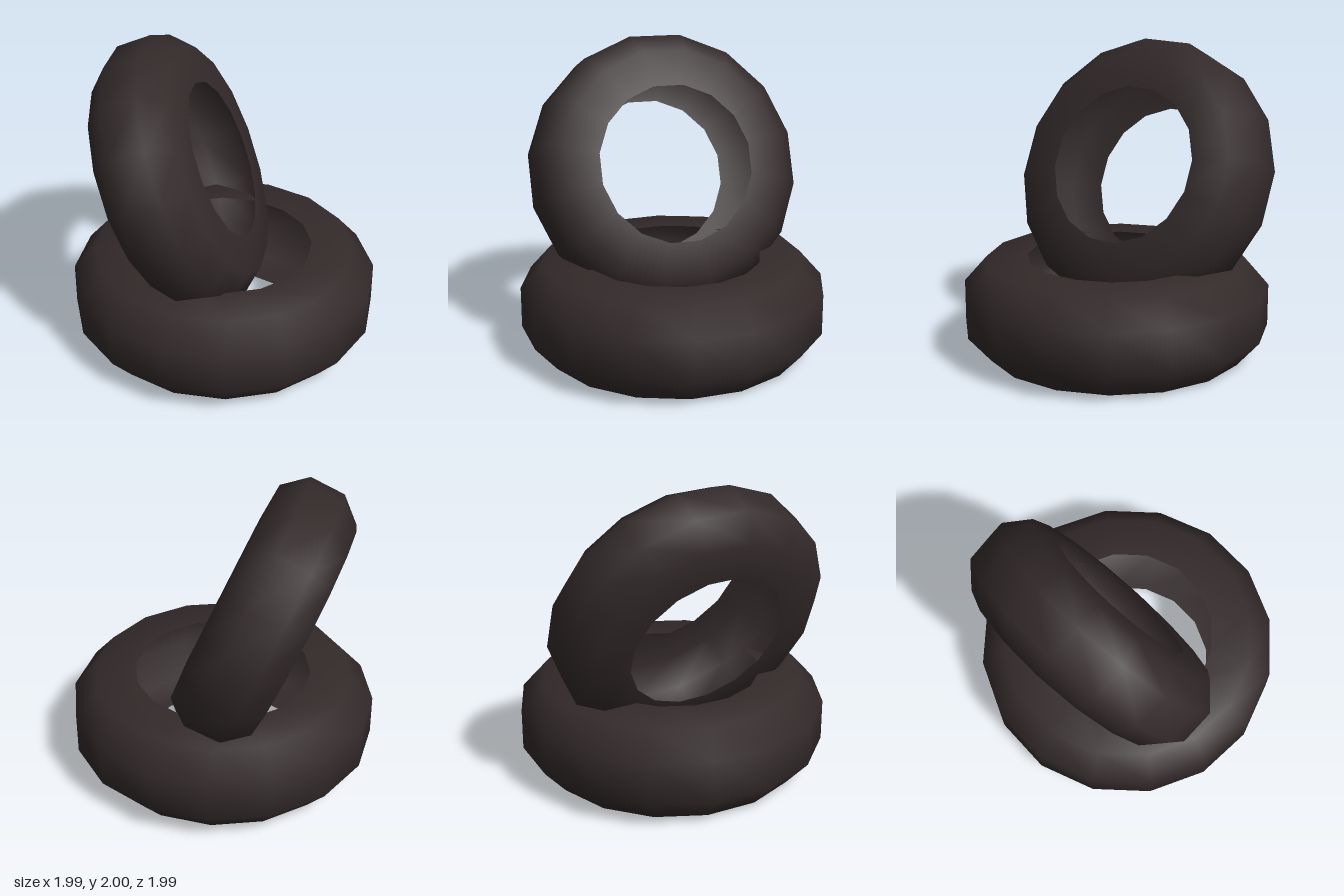
import * as THREE from 'three';

const SIDES = 16;
const HOLE = 0.58, HALF = 0.32;

// Cross-section of the hollow casing, from the lower rim round the tread to the upper rim
const CASING = [[HOLE, -HALF], [0.85, -0.305], [1, -0.135], [1, 0.135], [0.85, 0.305], [HOLE, HALF]]
  .map(([r, y]) => new THREE.Vector2(r, y));

// A tyre whose axle lies along "axle", with one corner of its polygon towards "corner"
function makeTyre(name, material, radius, centre, axle, corner) {
  const tyre = new THREE.Mesh(new THREE.LatheGeometry(CASING, SIDES), material);
  tyre.name = name;

  const y = axle.clone().normalize();
  const x = corner.clone().addScaledVector(y, -corner.dot(y)).normalize();
  const z = new THREE.Vector3().crossVectors(x, y);
  tyre.quaternion.setFromRotationMatrix(new THREE.Matrix4().makeBasis(x, y, z));
  tyre.scale.setScalar(radius);
  tyre.position.copy(centre);
  return tyre;
}

export function createModel() {
  const v = (x, y, z) => new THREE.Vector3(x, y, z);
  // Open casing, so the inside shows as well
  const rubber = new THREE.MeshStandardMaterial({ color: 0x332a2a, side: THREE.DoubleSide });
  rubber.name = 'dark rubber';

  const model = new THREE.Group();
  model.name = 'tyreStack';
  const turn = THREE.MathUtils.degToRad(7);
  model.add(
    // Tyre lying flat on the ground
    makeTyre('flatTyre', rubber, 1, v(-0.002, HALF, 0), v(0, 1, 0), v(Math.cos(turn), 0, Math.sin(turn))),
    // Smaller tyre leaning back on top of it
    makeTyre('leaningTyre', rubber, 0.893, v(-0.102, 1.144, -0.257), v(0.437, 0.392, 0.81), v(0.467, -0.11, -0.209))
  );
  return model;
}
